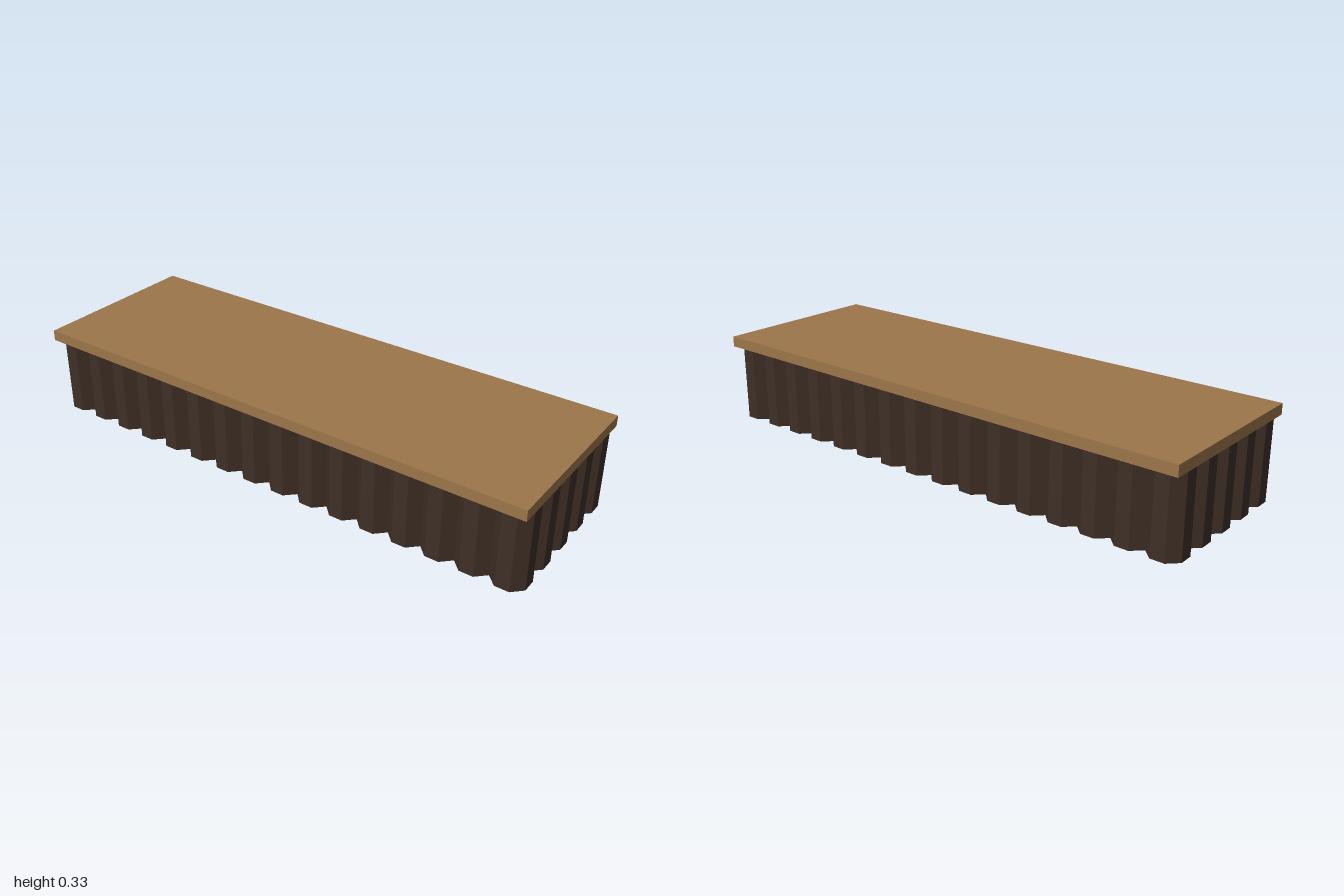
import * as THREE from 'three';

export function createModel() {
  const model = new THREE.Group();
  const deckWood = new THREE.MeshStandardMaterial({ color: 0x9c764b });
  deckWood.name = 'deckWood';
  const darkWood = new THREE.MeshStandardMaterial({ color: 0x3e2f26, flatShading: true });
  darkWood.name = 'darkWood';

  const deckBottom = 0.293, deckTop = 0.333;
  const width = 0.125; // post width across flats, also the spacing
  const columns = 16, rows = 5;

  // Deck of lengthwise planks laid edge to edge
  const deck = new THREE.Group();
  deck.name = 'deck';
  const seams = [-0.333, -0.227, -0.117, -0.013, 0.097, 0.207, 0.275, 0.333];
  for (let i = 0; i < seams.length - 1; i++) {
    const plank = new THREE.Mesh(
      new THREE.BoxGeometry(2, deckTop - deckBottom, seams[i + 1] - seams[i]), deckWood);
    plank.position.set(0, (deckTop + deckBottom) / 2, (seams[i] + seams[i + 1]) / 2);
    plank.name = 'plank';
    deck.add(plank);
  }
  model.add(deck);

  // Octagonal posts around the edge, leaving the middle hollow
  const posts = new THREE.Group();
  posts.name = 'posts';
  const radius = width / 2 / Math.cos(Math.PI / 8);
  const postGeometry = new THREE.CylinderGeometry(radius, radius, deckBottom, 8);
  postGeometry.rotateY(Math.PI / 8);
  for (let c = 0; c < columns; c++) {
    for (let r = 0; r < rows; r++) {
      const onEdge = c === 0 || c === columns - 1 || r === 0 || r === rows - 1;
      if (!onEdge) continue;
      const post = new THREE.Mesh(postGeometry, darkWood);
      post.position.set((c - (columns - 1) / 2) * width, deckBottom / 2, (r - (rows - 1) / 2) * width);
      post.name = 'post';
      posts.add(post);
    }
  }
  model.add(posts);

  return model;
}
